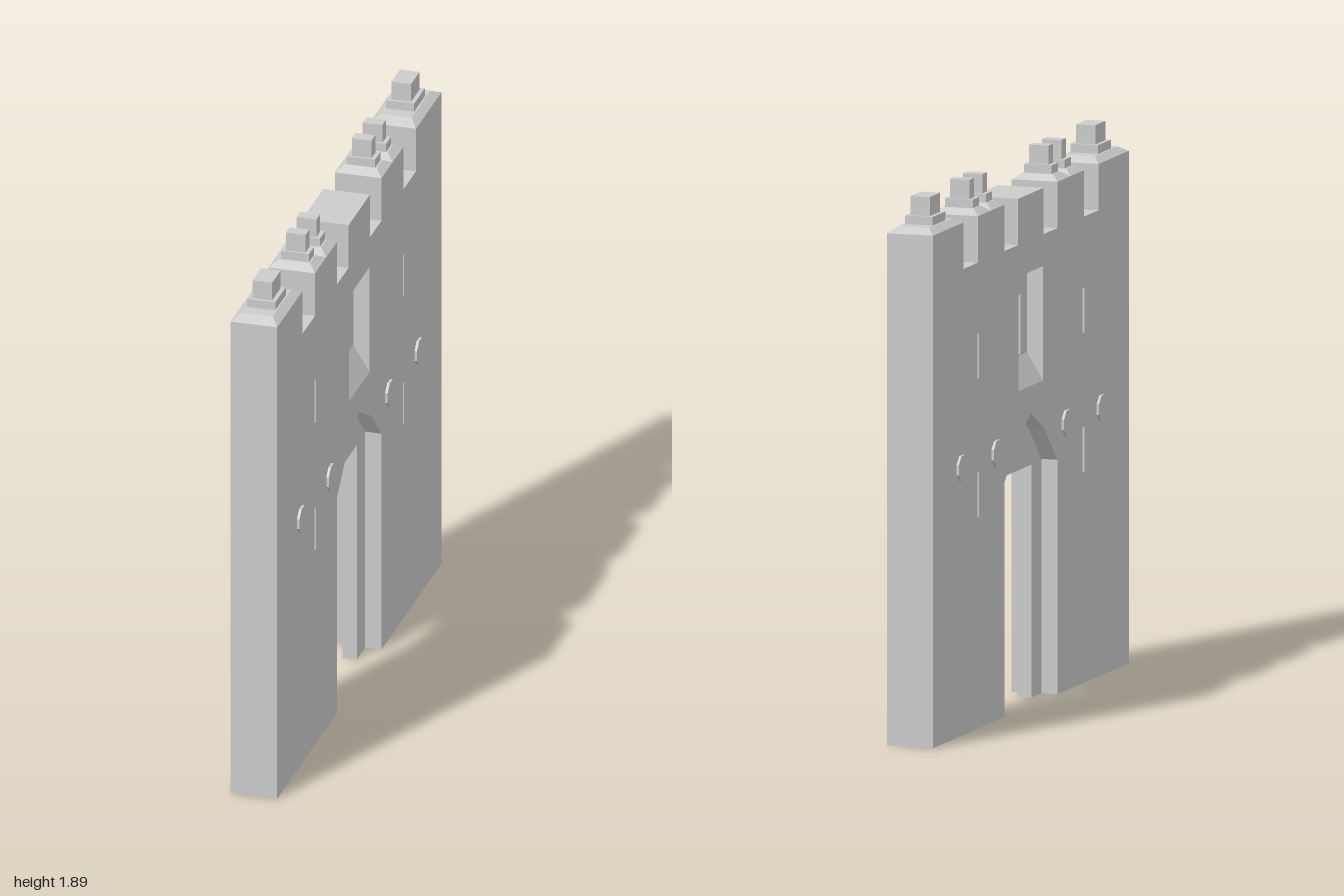
import * as THREE from 'three';

const material = new THREE.MeshStandardMaterial({ color: 0xcccccc, flatShading: true });
const HALF = 0.083;   // half thickness of the wall
const INSET = 0.025;  // half thickness of the recessed panels

export function createModel() {
  const group = new THREE.Group();
  group.name = 'castleGateWall';

  const add = (name, geometry) => {
    const mesh = new THREE.Mesh(geometry, material);
    mesh.name = name;
    group.add(mesh);
    return mesh;
  };

  // Turn half of a (z, y) outline into a full one mirrored about z = 0
  const mirrored = (half) => [...half, ...half.filter(([z]) => z !== 0).reverse().map(([z, y]) => [-z, y])];
  const toPoints = (list) => list.map(([z, y]) => new THREE.Vector2(z, y));
  const rect = (z0, z1, y0, y1) => new THREE.Path(toPoints([[z0, y0], [z0, y1], [z1, y1], [z1, y0]]));

  // Extrude a (z, y) shape along x, centred on x = 0
  const slab = (outline, holes, half) => {
    const shape = new THREE.Shape(toPoints(outline));
    shape.holes.push(...holes);
    return new THREE.ExtrudeGeometry(shape, { depth: half * 2, bevelEnabled: false })
      .translate(0, 0, -half)
      .rotateY(-Math.PI / 2);
  };

  // Wall with battlements, arched gateway, window recess and arrow slits
  const arch = [[0.27, 0], [0.27, 0.81], [0.14, 0.935], [0, 1.01]];
  const battlements = [
    [1, 0], [1, 1.77], [0.69, 1.77], [0.69, 1.61], [0.54, 1.61], [0.54, 1.77],
    [0.27, 1.77], [0.27, 1.61], [0.13, 1.61], [0.13, 1.77],
  ];
  const fullArch = mirrored(arch);
  const holes = [rect(-0.125, 0.125, 1.105, 1.5)];
  for (const s of [-1, 1]) {
    for (const [y0, y1] of [[0.73, 0.885], [1.21, 1.365]]) {
      holes.push(rect(s * 0.537 - 0.008, s * 0.537 + 0.008, y0, y1));
    }
  }
  add('wall', slab([...mirrored(battlements), ...fullArch.slice().reverse()], holes, HALF));

  // Thin door frame set back inside the arch
  const doorway = [[-0.167, 0], [-0.167, 0.805], [0.167, 0.805], [0.167, 0]];
  add('doorFrame', slab([...fullArch, ...doorway], [], INSET));

  // Thin window panel set back in its recess
  add('windowPanel', slab(
    [[-0.125, 1.105], [0.125, 1.105], [0.125, 1.5], [-0.125, 1.5]],
    [rect(-0.055, 0.055, 1.205, 1.41)], INSET));

  // Sloping window sill on both faces
  const sillShape = new THREE.Shape(toPoints([[INSET, 1.105], [HALF, 1.105], [INSET, 1.2]]));
  for (const turn of [0, Math.PI]) {
    const sill = new THREE.ExtrudeGeometry(sillShape, { depth: 0.25, bevelEnabled: false });
    add('windowSill', sill.translate(0, 0, -0.125).rotateY(turn));
  }

  // Bevelled merlon cap with a two-step chimney
  const cappedMerlon = (z, halfZ, bevel, chimneyZ, baseZ, stackZ) => {
    const cap = new THREE.BoxGeometry(HALF * 2, 0.02, halfZ * 2);
    const p = cap.attributes.position;
    for (let i = 0; i < p.count; i++) {
      if (p.getY(i) > 0) {
        p.setX(i, Math.sign(p.getX(i)) * 0.056);
        p.setZ(i, Math.sign(p.getZ(i)) * (halfZ - bevel));
      }
    }
    cap.computeVertexNormals();
    add('merlonCap', cap).position.set(0, 1.78, z);
    add('chimneyBase', new THREE.BoxGeometry(0.1, 0.03, baseZ)).position.set(0, 1.805, chimneyZ);
    add('chimneyStack', new THREE.BoxGeometry(0.07, 0.067, stackZ)).position.set(0, 1.8525, chimneyZ);
  };

  for (const s of [-1, 1]) {
    cappedMerlon(s * 0.845, 0.155, 0.04, s * 0.845, 0.13, 0.105);
    cappedMerlon(s * 0.4725, 0.0675, 0.033, s * 0.468, 0.064, 0.046);
    cappedMerlon(s * 0.3375, 0.0675, 0.033, s * 0.336, 0.064, 0.046);

    // Eight-sided studs passing through the wall
    for (const z of [0.358, 0.715]) {
      const stud = new THREE.CylinderGeometry(0.048, 0.048, 0.184, 8).rotateY(Math.PI / 8).rotateZ(Math.PI / 2);
      add('stud', stud).position.set(0, 0.925, s * z);
    }
  }

  return group;
}
